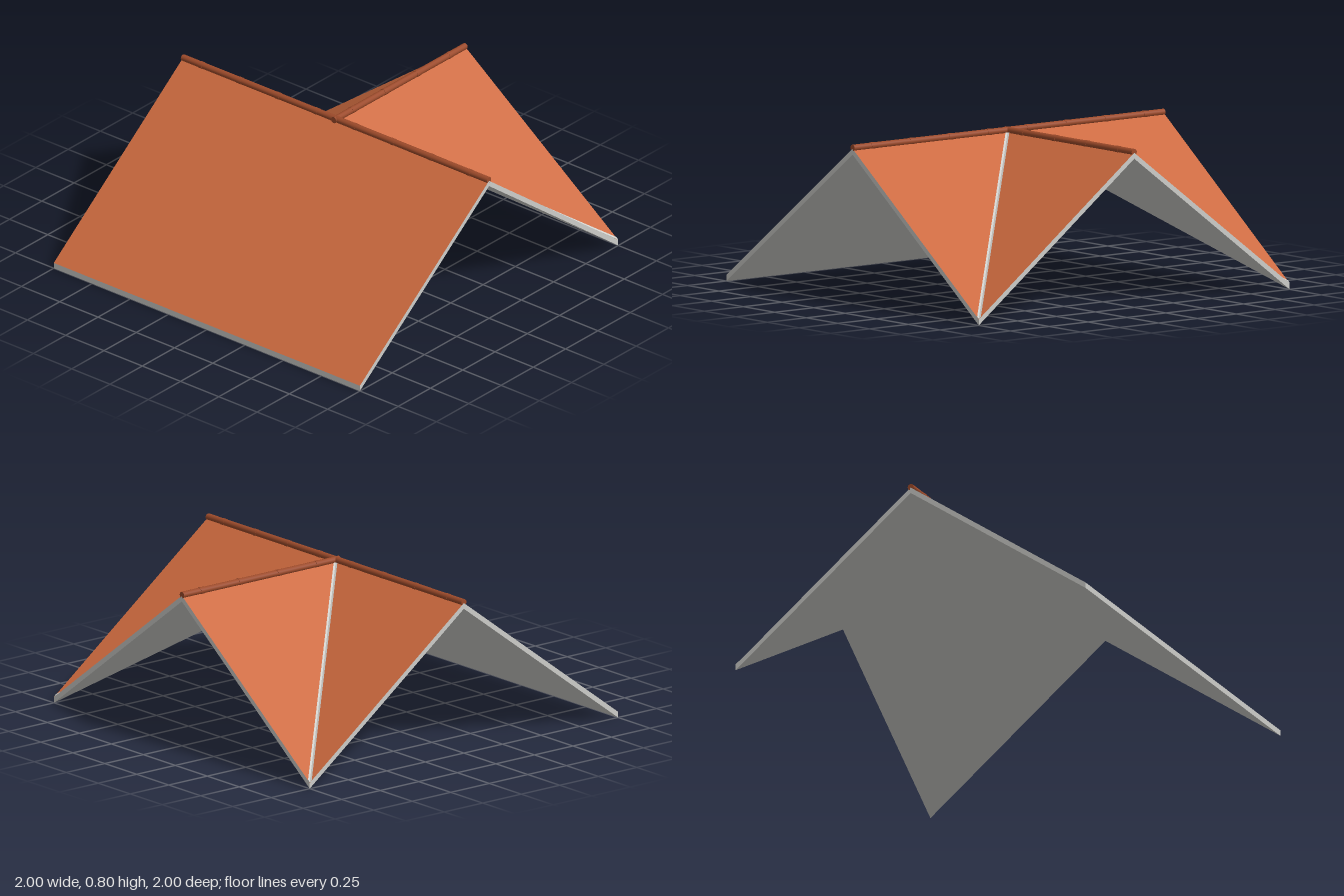
import * as THREE from 'three';

const RISE = 0.75, TOP = 0.78, THICK = 0.03;

const tile = new THREE.MeshStandardMaterial({ color: 0xcc693e });
tile.name = 'terracotta tile';
const ridge = new THREE.MeshStandardMaterial({ color: 0x9c4a2a });
ridge.name = 'dark ridge tile';
const trim = new THREE.MeshStandardMaterial({ color: 0xcdcdc9 });
trim.name = 'pale grey trim';

// roof heights of the main slopes and of the cross gable
const mainHeight = (x, z) => TOP - RISE * Math.abs(z);
const gableHeight = (x, z) => TOP - RISE * Math.abs(x);

// sloped slab over a convex plan outline of [x, z] points, with plumb-cut edges
function slab(name, plan, height, thick, topMat, lift = 0) {
  const [a, b, c] = plan;
  const up = (b[1] - a[1]) * (c[0] - a[0]) - (b[0] - a[0]) * (c[1] - a[1]);
  const pts = up < 0 ? [...plan].reverse() : plan;
  const tops = pts.map(([x, z]) => [x, height(x, z) + lift, z]);
  const bots = tops.map(([x, y, z]) => [x, y - thick, z]);
  const pos = [], n = pts.length;
  for (let i = 1; i < n - 1; i++) pos.push(...tops[0], ...tops[i], ...tops[i + 1]);
  const topCount = pos.length / 3;
  for (let i = 1; i < n - 1; i++) pos.push(...bots[0], ...bots[i + 1], ...bots[i]);
  for (let i = 0; i < n; i++) {
    const j = (i + 1) % n;
    pos.push(...bots[i], ...bots[j], ...tops[j], ...bots[i], ...tops[j], ...tops[i]);
  }
  const geo = new THREE.BufferGeometry();
  geo.setAttribute('position', new THREE.Float32BufferAttribute(pos, 3));
  geo.computeVertexNormals();
  geo.addGroup(0, topCount, 0);
  geo.addGroup(topCount, pos.length / 3 - topCount, 1);
  const mesh = new THREE.Mesh(geo, [topMat, trim]);
  mesh.name = name;
  return mesh;
}

// round ridge capping along x, with a collar in the middle of each tile
function ridgeCap(name, from, to, collars) {
  const group = new THREE.Group();
  group.name = name;
  const rod = (part, radius, length, x) => {
    const geo = new THREE.CylinderGeometry(radius, radius, length, 12);
    geo.rotateZ(Math.PI / 2);
    const mesh = new THREE.Mesh(geo, ridge);
    mesh.name = part;
    mesh.position.set(x, 0.783, 0);
    group.add(mesh);
  };
  rod('ridgeTube', 0.017, to - from, (from + to) / 2);
  for (const x of collars) rod('ridgeCollar', 0.0185, 0.025, x);
  return group;
}

export function createModel() {
  const roof = new THREE.Group();
  roof.name = 'crossGableRoof';

  // full front slope
  roof.add(slab('frontSlope', [[-1, 0], [-1, 1], [1, 1], [1, 0]], mainHeight, THICK, tile));

  for (const s of [-1, 1]) {
    const side = s > 0 ? 'left' : 'right';
    // back slope and cross gable slope, meeting along the valley
    roof.add(slab(side + 'BackSlope', [[0, 0], [s, 0], [s, -1]], mainHeight, THICK, tile));
    roof.add(slab(side + 'GableSlope', [[0, 0], [s, -1], [0, -1]], gableHeight, THICK, tile));
    // folded valley flashing
    const w = 0.013;
    roof.add(slab(side + 'ValleyMain', [[0, 0], [s * w, 0], [s, w - 1], [s, -1]],
      mainHeight, 0.003, trim, 0.004));
    roof.add(slab(side + 'ValleyGable', [[0, 0], [0, -w], [s * (1 - w), -1], [s, -1]],
      gableHeight, 0.003, trim, 0.004));
  }

  // ridge cappings
  const eight = Array.from({ length: 8 }, (_, i) => -0.875 + i * 0.25);
  roof.add(ridgeCap('mainRidge', -1, 1, eight));
  const gableRidge = ridgeCap('gableRidge', -0.018, 1, eight.slice(4));
  gableRidge.rotation.y = Math.PI / 2;
  roof.add(gableRidge);

  return roof;
}
